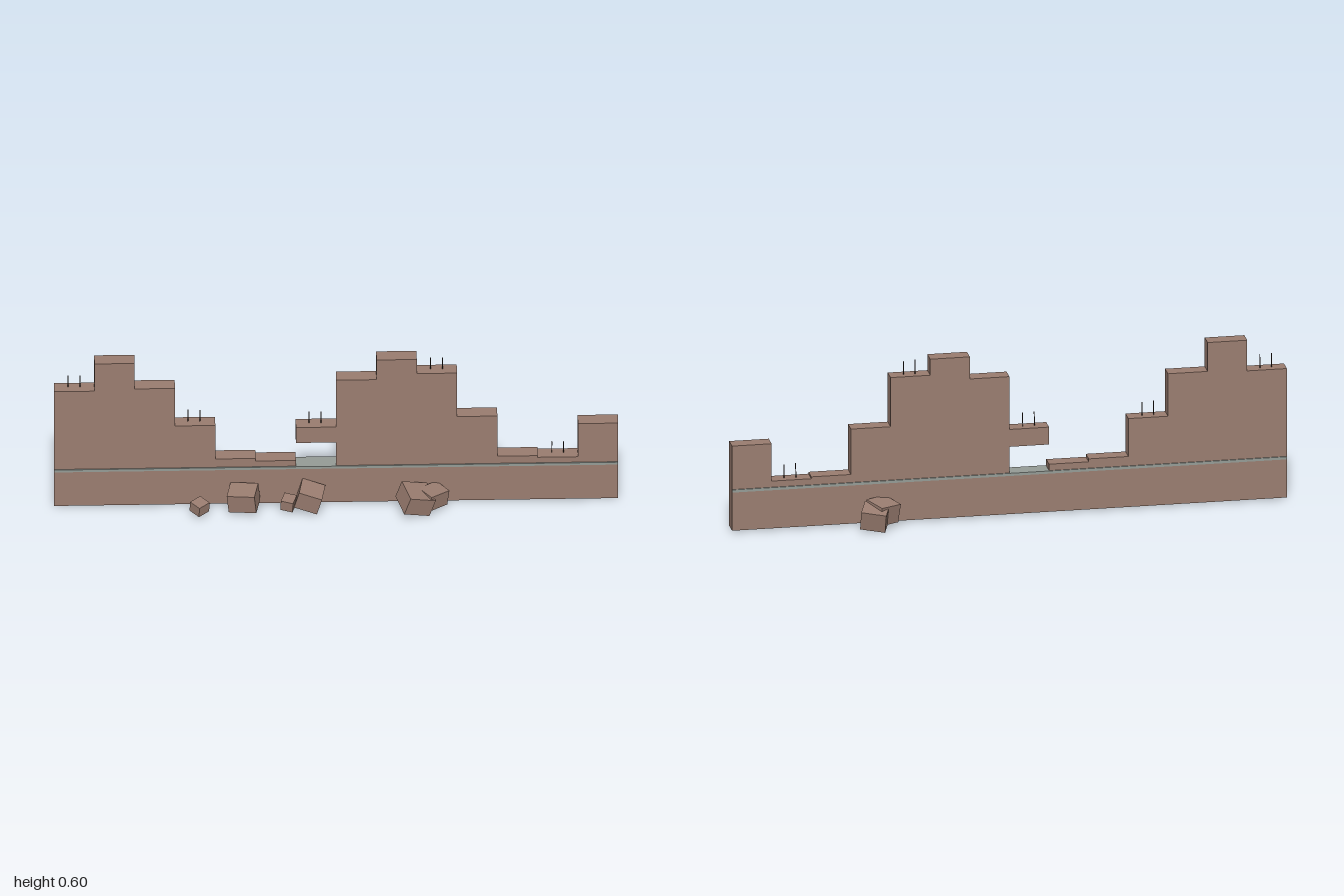
import * as THREE from 'three';

const brick = new THREE.MeshStandardMaterial({ color: 0x9a7d70 });
brick.name = 'dusty brick';
const stone = new THREE.MeshStandardMaterial({ color: 0x959c96 });
stone.name = 'grey stone';
const iron = new THREE.MeshStandardMaterial({ color: 0x3a302c });
iron.name = 'dark iron';

export function createModel() {
  const model = new THREE.Group();
  const add = (name, geometry, material, x, y, z, rx = 0, ry = 0, rz = 0) => {
    const mesh = new THREE.Mesh(geometry, material);
    mesh.name = name;
    mesh.position.set(x, y, z);
    mesh.rotation.set(rx, ry, rz, 'YXZ');
    model.add(mesh);
    return mesh;
  };
  const column = 2 / 14, base = 0.007, back = -0.033, depth = 0.056, middle = -0.005;

  // Broken wall: one stepped outline, a top height for each column
  const tops = [0.49, 0.605, 0.497, 0.338, 0.196, 0.185, 0.157,
    0.522, 0.605, 0.545, 0.361, 0.191, 0.184, 0.324];
  const outline = new THREE.Shape();
  outline.moveTo(-1, base);
  outline.lineTo(1, base);
  for (let i = tops.length - 1; i >= 0; i--) {
    outline.lineTo(-1 + (i + 1) * column, tops[i]);
    outline.lineTo(-1 + i * column, tops[i]);
  }
  outline.closePath();
  add('brokenWall', new THREE.ExtrudeGeometry(outline, { depth, bevelEnabled: false }),
    brick, 0, 0, back);

  // Lintel stub left over the gap
  add('lintel', new THREE.BoxGeometry(column, 0.065, depth), brick, -column / 2, 0.2915, middle);

  // Stone course running through the wall
  add('stoneBand', new THREE.BoxGeometry(1.998, 0.01, 0.064), stone, 0, 0.156, middle);

  // Pairs of bent iron rods on some broken tops: first x, base height
  const rod = new THREE.CylinderGeometry(0.0018, 0.0018, 0.054, 5);
  [[-0.95, 0.49], [-0.525, 0.338], [-0.095, 0.324], [0.335, 0.545], [0.765, 0.184]]
    .forEach(([x, y]) => {
      add('ironRod', rod, iron, x, y + 0.024, middle, 0.11);
      add('ironRod', rod, iron, x + 0.042, y + 0.022, middle, 0.09);
    });

  // Fallen blocks: position, size, then tilt, turn and roll
  const blocks = [
    [-0.486, 0.038, 0.088, 0.05, 0.04, 0.048, 0.12, 0.75, 0.05],
    [-0.33, 0.06, 0.068, 0.1, 0.072, 0.08, 0.12, -0.2, 0.08],
    [-0.17, 0.037, 0.068, 0.045, 0.04, 0.05, 0.1, -0.3, -0.08],
    [-0.095, 0.06, 0.065, 0.085, 0.07, 0.085, 0.1, -0.17, -0.28],
    [0.28, 0.057, 0.085, 0.1, 0.07, 0.1, 0.15, 0.3, -0.3],
    [0.342, 0.053, 0.065, 0.085, 0.06, 0.07, 0.1, 0.7, -0.08],
    [0.465, 0.06, -0.068, 0.09, 0.07, 0.085, -0.15, 0.55, 0.05],
    [0.497, 0.05, -0.1, 0.09, 0.07, 0.08, -0.22, -0.35, 0.1],
  ];
  for (const [x, y, z, w, h, d, rx, ry, rz] of blocks)
    add('fallenBlock', new THREE.BoxGeometry(w, h, d), brick, x, y, z, rx, ry, rz);

  return model;
}
